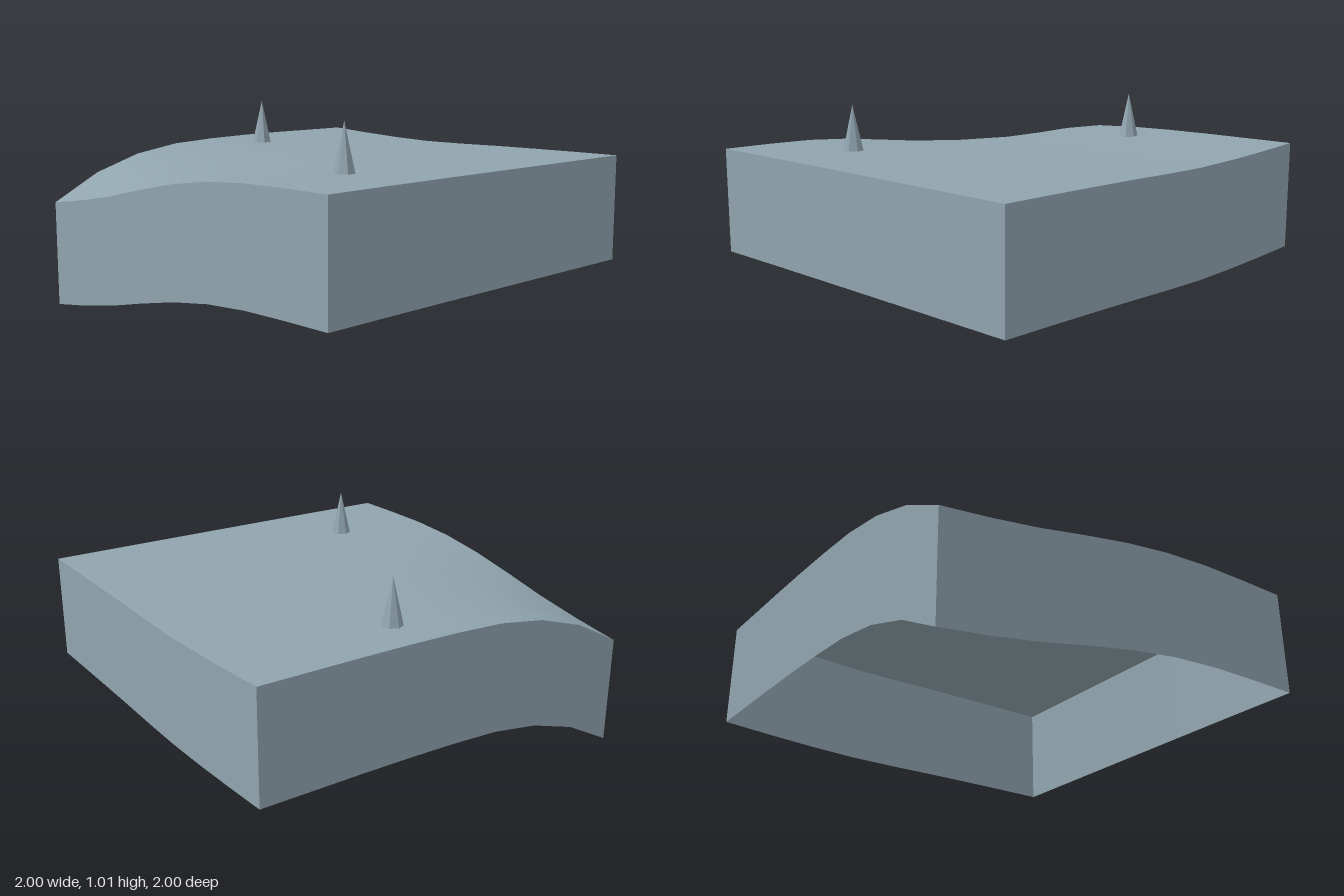
import * as THREE from 'three';

const SEGMENTS = 8;
const DEPTH = 0.53;

// Profiles sampled every 0.25 units from -1 to 1
const EAST_EDGE = [0.803, 0.787, 0.774, 0.766, 0.767, 0.771, 0.773, 0.774, 0.774];
const DROP_ACROSS = [0.273, 0.14, 0.06, 0.021, 0.008, 0.002, 0, 0, 0];
const DROP_ALONG = [1, 0.81, 0.6, 0.37, 0.19, 0.075, 0.02, 0.01, 0.01];

function sample(profile, t) {
  const f = THREE.MathUtils.clamp((t + 1) / 2, 0, 1) * SEGMENTS;
  const i = Math.min(Math.floor(f), SEGMENTS - 1);
  return THREE.MathUtils.lerp(profile[i], profile[i + 1], f - i);
}

// Gentle terrain that falls away at the back right corner
function height(x, z) {
  return sample(EAST_EDGE, z) - sample(DROP_ACROSS, x) * sample(DROP_ALONG, z);
}

export function createModel() {
  const group = new THREE.Group();
  const material = new THREE.MeshStandardMaterial({ color: 0x90a4ae, side: THREE.DoubleSide });
  material.name = 'blueGrey';
  const add = (geometry, name) => {
    const mesh = new THREE.Mesh(geometry, material);
    mesh.name = name;
    group.add(mesh);
    return mesh;
  };

  // Rolling ground surface
  const ground = new THREE.PlaneGeometry(2, 2, SEGMENTS, SEGMENTS).rotateX(-Math.PI / 2);
  const g = ground.attributes.position;
  for (let i = 0; i < g.count; i++) g.setY(i, height(g.getX(i), g.getZ(i)));
  ground.computeVertexNormals();
  add(ground, 'ground');

  // Skirt walls that follow the ground edge, open underneath
  ['front', 'left', 'back', 'right'].forEach((side, k) => {
    const wall = new THREE.PlaneGeometry(2, 1, SEGMENTS, 1);
    wall.translate(0, 0, 1).rotateY((k * Math.PI) / 2);
    const p = wall.attributes.position;
    for (let i = 0; i < p.count; i++) {
      const top = height(p.getX(i), p.getZ(i));
      p.setY(i, p.getY(i) > 0 ? top : top - DEPTH);
    }
    add(wall, side + 'Wall');
  });

  // Seven-sided spikes standing on the ground
  const coneHeight = 0.23;
  const spike = new THREE.ConeGeometry(0.052, coneHeight, 7).rotateY(Math.PI).toNonIndexed();
  spike.computeVertexNormals();
  [[-0.5, 0.58], [0.165, -0.75]].forEach(([x, z], i) => {
    add(spike, i ? 'backSpike' : 'frontSpike').position.set(x, height(x, z) + coneHeight / 2 - 0.003, z);
  });

  return group;
}
